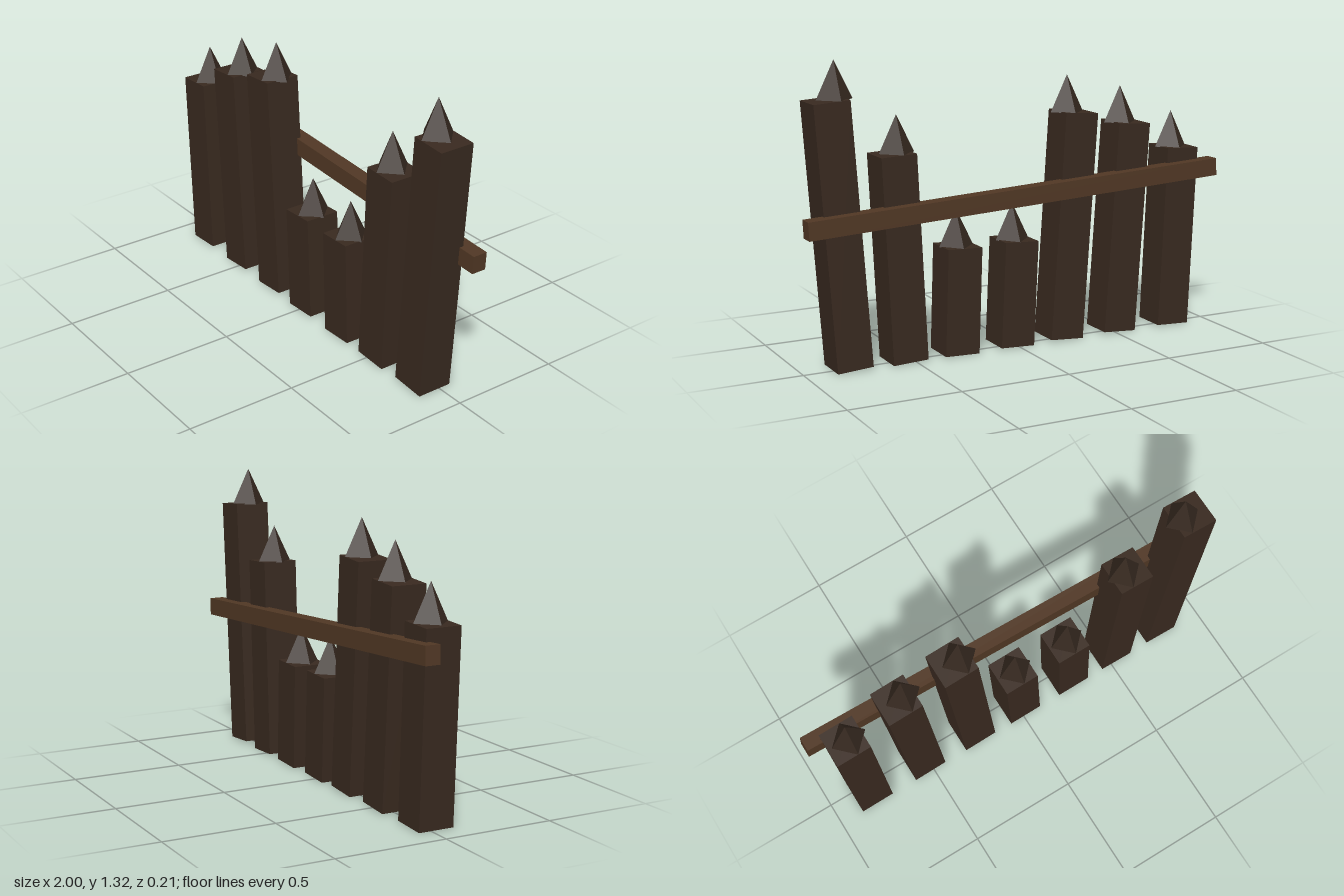
import * as THREE from 'three';

const stakeWood = new THREE.MeshStandardMaterial({ color: 0x38291f, flatShading: true });
const tipWood = new THREE.MeshStandardMaterial({ color: 0x35281f, flatShading: true });
const railWood = new THREE.MeshStandardMaterial({ color: 0x503724, flatShading: true });

const SPACING = 0.275, WIDTH = 0.162, TIP = 0.165, STAKE_Z = 0.025;

// Stakes from the model's right to its left: [height, lean]
const STAKES = [
  [0.835, 0.045], [0.966, 0.067], [1.03, 0.067], [0.477, 0.045],
  [0.477, 0.034], [0.908, -0.047], [1.152, -0.07],
];

// A leaning square post with an upright four-sided point
function makeStake(height, lean) {
  const stake = new THREE.Group();
  stake.name = 'stake';
  const centreY = (height * Math.cos(lean) + WIDTH * Math.sin(Math.abs(lean))) / 2 + 0.005;

  const post = new THREE.Mesh(new THREE.BoxGeometry(WIDTH, height, WIDTH), stakeWood);
  post.name = 'post';
  post.position.y = centreY;
  post.rotation.z = lean;

  const tip = new THREE.Mesh(new THREE.ConeGeometry(WIDTH / 2, TIP, 4), tipWood);
  tip.name = 'tip';
  tip.position.y = centreY + height / 2 + TIP / 2;

  stake.add(post, tip);
  return stake;
}

export function createModel() {
  const fence = new THREE.Group();
  fence.name = 'fence';

  STAKES.forEach(([height, lean], i) => {
    const stake = makeStake(height, lean);
    stake.position.set((i - 3) * SPACING, 0, STAKE_Z);
    fence.add(stake);
  });

  // Sloping rail behind the stakes
  const rail = new THREE.Mesh(new THREE.BoxGeometry(1.998, 0.08, 0.068), railWood);
  rail.name = 'rail';
  rail.position.set(0, 0.696, -0.071);
  rail.rotation.z = -0.054;
  fence.add(rail);

  return fence;
}
